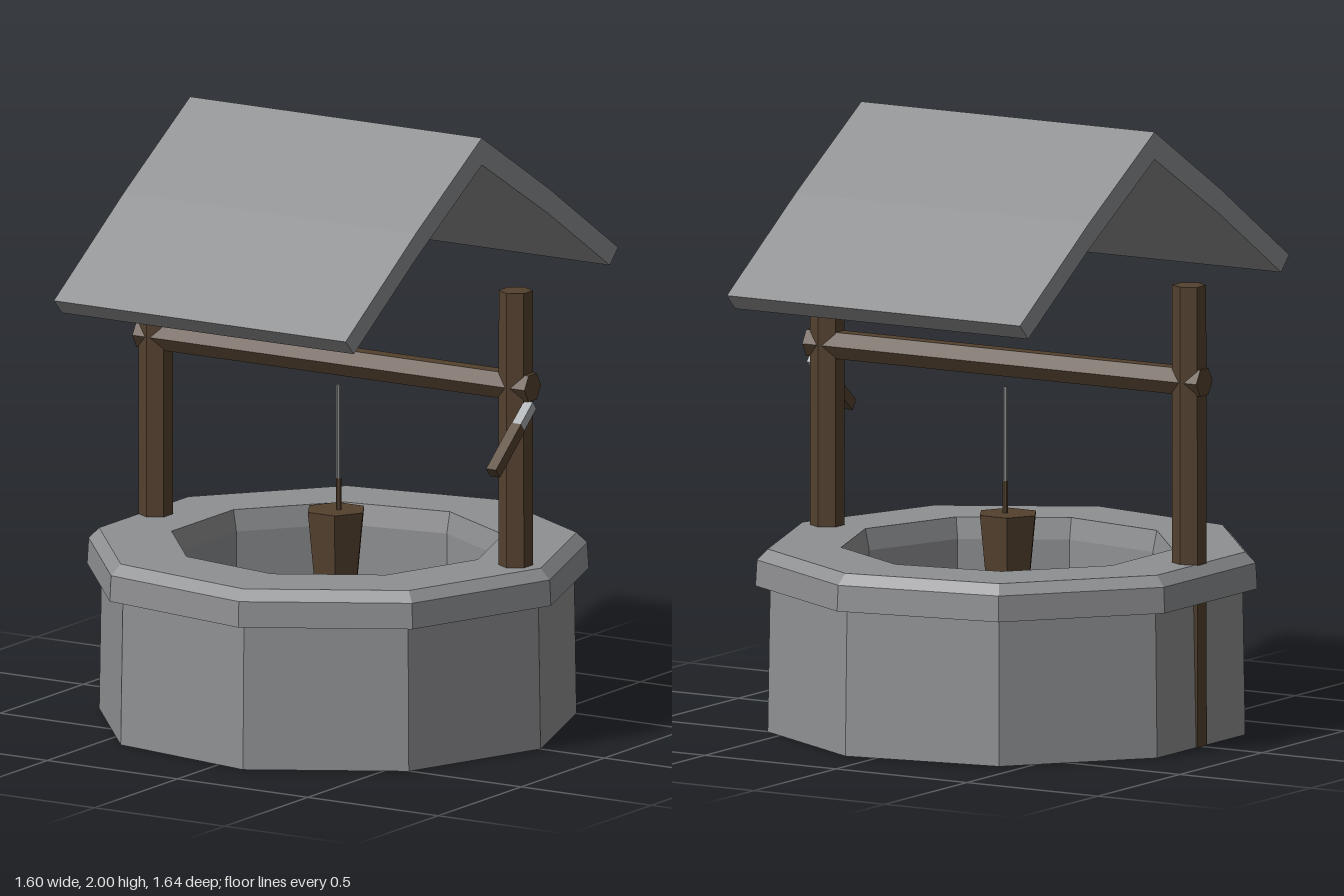
import * as THREE from 'three';

const CX = -0.03; // axis of the well

const mat = (name, color) => new THREE.MeshStandardMaterial({ name, color, side: THREE.DoubleSide });

// Faceted normals for the low-poly look
function flat(geo) {
  const g = geo.index ? geo.toNonIndexed() : geo;
  g.computeVertexNormals();
  return g;
}

function shapeOf(points) {
  return new THREE.Shape(points.map(([x, y]) => new THREE.Vector2(x, y)));
}

export function createModel() {
  const group = new THREE.Group();
  const stone = mat('stone grey', 0x8f9092);
  const wood = mat('dark wood', 0x54412f);
  const rope = mat('rope grey', 0x85888a);
  const metal = mat('pale metal', 0xa9adb0);
  const waterBlue = mat('water blue', 0x5a7cb0);
  const deepBlue = mat('deep blue', 0x2c406e);
  const weed = mat('dark weed', 0x22281f);
  const glint = mat('water glint', 0x8f9bab);

  const add = (name, geo, material, x = 0, y = 0, z = 0) => {
    const mesh = new THREE.Mesh(flat(geo), material);
    mesh.name = name;
    mesh.position.set(x, y, z);
    group.add(mesh);
    return mesh;
  };

  // Nine-sided stone wall and overhanging rim, one closed section each
  const ring = (name, pts) => add(name, new THREE.LatheGeometry(
    pts.map(([r, y]) => new THREE.Vector2(r, y)), 9, Math.PI / 2), stone, CX);
  ring('wall', [[0.53, 0.48], [0.53, 0], [0.785, 0], [0.777, 0.48]]);
  ring('rim', [[0.53, 0.48], [0.825, 0.48], [0.82, 0.565], [0.785, 0.6],
    [0.545, 0.6], [0.53, 0.53], [0.53, 0.48]]);

  // Water surface with thin painted patches that show on both sides
  const disc = new THREE.CircleGeometry(0.53, 9);
  disc.rotateX(-Math.PI / 2);
  add('water', disc, waterBlue, CX, 0.25, 0);
  const patch = (name, pts, material, t) => {
    const g = new THREE.ExtrudeGeometry(shapeOf(pts), { depth: t, bevelEnabled: false });
    g.rotateX(Math.PI / 2);
    add(name, g, material, CX, 0.25 + t / 2, 0);
  };
  patch('deepWaterBack', [[-0.36, -0.34], [-0.18, -0.37], [-0.05, -0.3], [0.1, -0.36],
    [0.3, -0.3], [0.42, -0.12], [0.36, 0.02], [0.2, -0.06], [0.08, -0.02],
    [-0.08, -0.12], [-0.22, -0.1], [-0.3, -0.2]], deepBlue, 0.004);
  patch('deepWaterFront', [[-0.47, 0.08], [-0.3, 0.05], [-0.18, 0.13], [0, 0.1],
    [0.12, 0.2], [0.24, 0.24], [0.2, 0.36], [0.02, 0.32], [-0.1, 0.38],
    [-0.24, 0.3], [-0.38, 0.3]], deepBlue, 0.004);
  const blot = [[-0.11, -0.04], [-0.03, -0.06], [0.03, -0.02], [0.1, -0.03],
    [0.11, 0.04], [0.04, 0.03], [0, 0.07], [-0.08, 0.03]];
  for (const [x, z] of [[0.05, -0.2], [0.2, -0.1], [-0.22, 0.2], [0, 0.25]]) {
    patch('weedPatch', blot.map(([a, b]) => [a + x, b + z]), weed, 0.007);
  }
  for (const [x, z] of [[0.33, -0.33], [-0.35, -0.08], [0.2, 0.08]]) {
    patch('glintPatch', blot.map(([a, b]) => [a * 0.55 + x, b * 0.55 + z]), glint, 0.007);
  }

  // Hexagonal posts running from the ground through the rim
  for (const [name, x] of [['rightPost', -0.722], ['leftPost', 0.66]]) {
    add(name, new THREE.CylinderGeometry(0.055, 0.057, 1.51, 6), wood, x, 0.755, 0);
  }

  // Winding beam
  const beam = new THREE.CylinderGeometry(0.05, 0.05, 1.505, 6);
  beam.rotateZ(Math.PI / 2);
  add('beam', beam, wood, -0.0275, 1.195, 0);

  // Crank: metal arm and wooden grip, sloping down to the front
  const crank = new THREE.Group();
  crank.name = 'crank';
  crank.position.set(0.722, 1.14, 0.01);
  crank.rotation.x = Math.atan2(0.185, 0.225);
  for (const [name, start, length, width, material] of [
    ['crankArm', 0, 0.11, 0.034, metal], ['crankGrip', 0.095, 0.195, 0.038, wood]]) {
    const part = new THREE.Mesh(new THREE.BoxGeometry(width, width, length), material);
    part.name = name;
    part.position.z = start + length / 2;
    crank.add(part);
  }
  group.add(crank);

  // Rope with a wooden toggle above the bucket
  add('rope', new THREE.CylinderGeometry(0.008, 0.008, 0.32, 6), rope, -0.02, 0.955, 0);
  add('ropeEnd', new THREE.CylinderGeometry(0.009, 0.009, 0.12, 6), wood, -0.02, 0.745, 0);

  // Hexagonal bucket
  const bucket = new THREE.CylinderGeometry(0.103, 0.08, 0.22, 6);
  bucket.rotateY(Math.PI / 6);
  add('bucket', bucket, wood, CX, 0.59, 0);

  // Gabled roof slab with a slight kink halfway down each slope
  const profile = [[0, 2], [-0.4, 1.757], [-0.82, 1.48], [-0.77, 1.43], [-0.4, 1.672],
    [0, 1.91], [0.4, 1.672], [0.77, 1.43], [0.82, 1.48], [0.4, 1.757]];
  const roof = new THREE.ExtrudeGeometry(shapeOf(profile), { depth: 1.12, bevelEnabled: false });
  roof.rotateY(Math.PI / 2);
  add('roof', roof, stone, -0.59, 0, 0);

  // Blue stain under the ridge
  const stain = new THREE.ExtrudeGeometry(shapeOf([[0.24, 0], [-0.2, 0], [-0.19, 0.07],
    [-0.12, 0.05], [-0.06, 0.1], [0.02, 0.05], [0.1, 0.09], [0.15, 0.04], [0.22, 0.06]]),
  { depth: 0.005, bevelEnabled: false });
  stain.rotateX(Math.PI / 2 + Math.atan2(0.238, 0.4));
  add('roofStain', stain, waterBlue, 0, 1.91, 0);

  return group;
}
